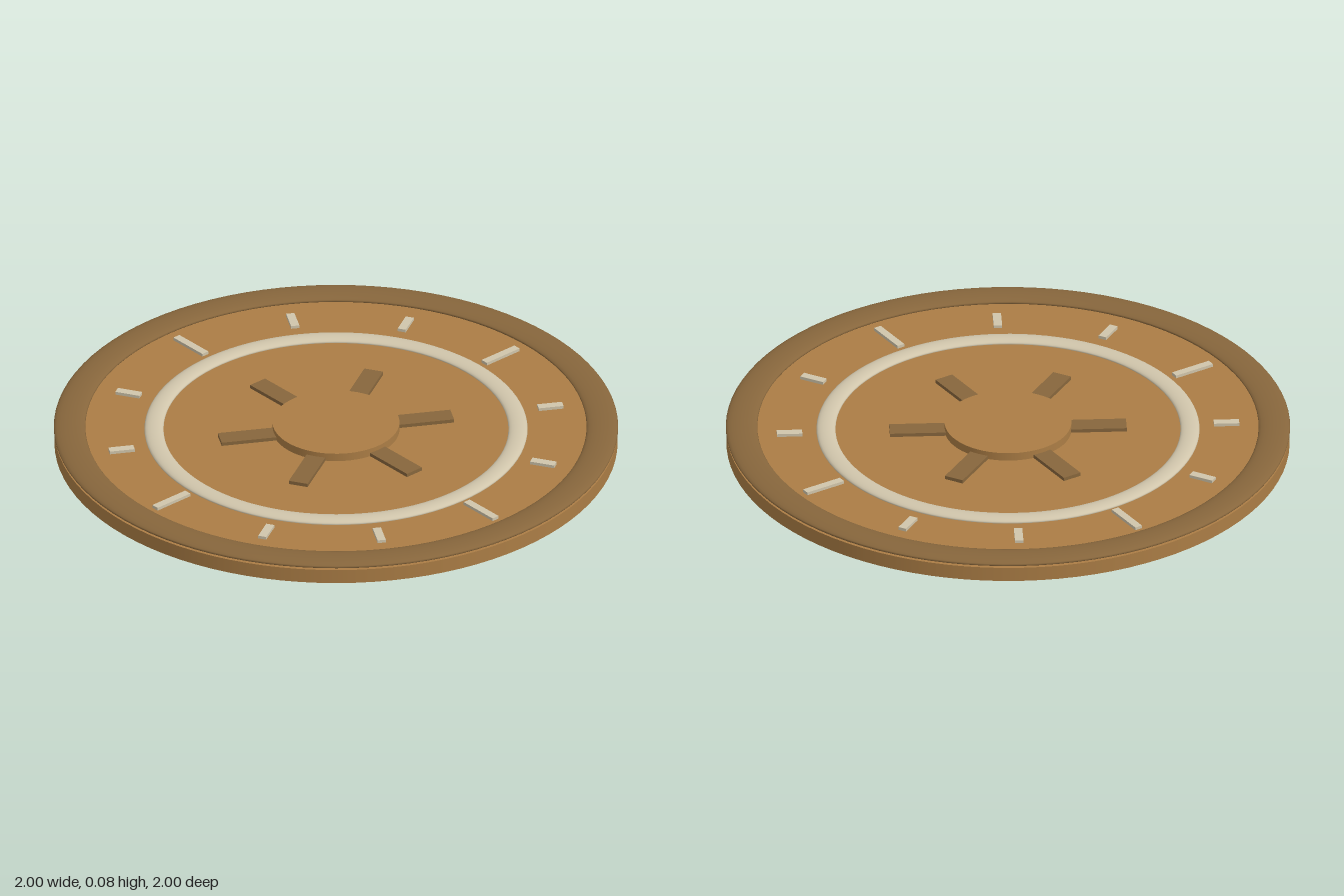
import * as THREE from 'three';

const mat = (name, color) => {
  const m = new THREE.MeshStandardMaterial({ color });
  m.name = name;
  return m;
};

export function createModel() {
  const group = new THREE.Group();
  const bronze = mat('bronze', 0xab7d45);
  const darkBronze = mat('dark bronze', 0x87663c);
  const ivory = mat('ivory', 0xd0c5ab);
  const top = 0.053; // upper face of the plate

  const add = (name, geometry, material, parent = group) => {
    const mesh = new THREE.Mesh(geometry, material);
    mesh.name = name;
    parent.add(mesh);
    return mesh;
  };

  // Plate and raised hub
  add('plate', new THREE.CylinderGeometry(0.998, 0.998, top, 96), bronze).position.y = top / 2;
  add('hub', new THREE.CylinderGeometry(0.225, 0.225, 0.03, 64), bronze).position.y = top + 0.015;

  // Flattened round rings lying on the plate
  const ring = (name, radius, tube, height, y, material) => {
    const geometry = new THREE.TorusGeometry(radius, tube, 20, 96);
    geometry.rotateX(Math.PI / 2);
    geometry.scale(1, height / tube, 1);
    add(name, geometry, material).position.y = y;
  };
  ring('rim', 0.944, 0.056, 0.0135, 0.0645, darkBronze);
  ring('inlayRing', 0.645, 0.034, 0.012, 0.055, ivory);

  // Bars radiating from the centre
  const bar = (name, inner, outer, width, height, angle, material) => {
    const pivot = new THREE.Group();
    pivot.name = name;
    pivot.rotation.y = angle;
    group.add(pivot);
    const box = new THREE.BoxGeometry(outer - inner, height, width);
    add(name + 'Bar', box, material, pivot)
      .position.set((inner + outer) / 2, top + height / 2 - 0.001, 0);
  };

  // Six spokes around the hub
  for (let i = 0; i < 6; i++) {
    bar('spoke', 0.2, 0.42, 0.07, 0.014, Math.PI / 6 + i * Math.PI / 3, darkBronze);
  }

  // Twelve marks, longer on the four quarters
  for (let i = 0; i < 12; i++) {
    const long = i % 3 === 0;
    bar('mark', long ? 0.7 : 0.73, long ? 0.855 : 0.82, long ? 0.028 : 0.03, 0.012,
      i * Math.PI / 6, ivory);
  }
  return group;
}
